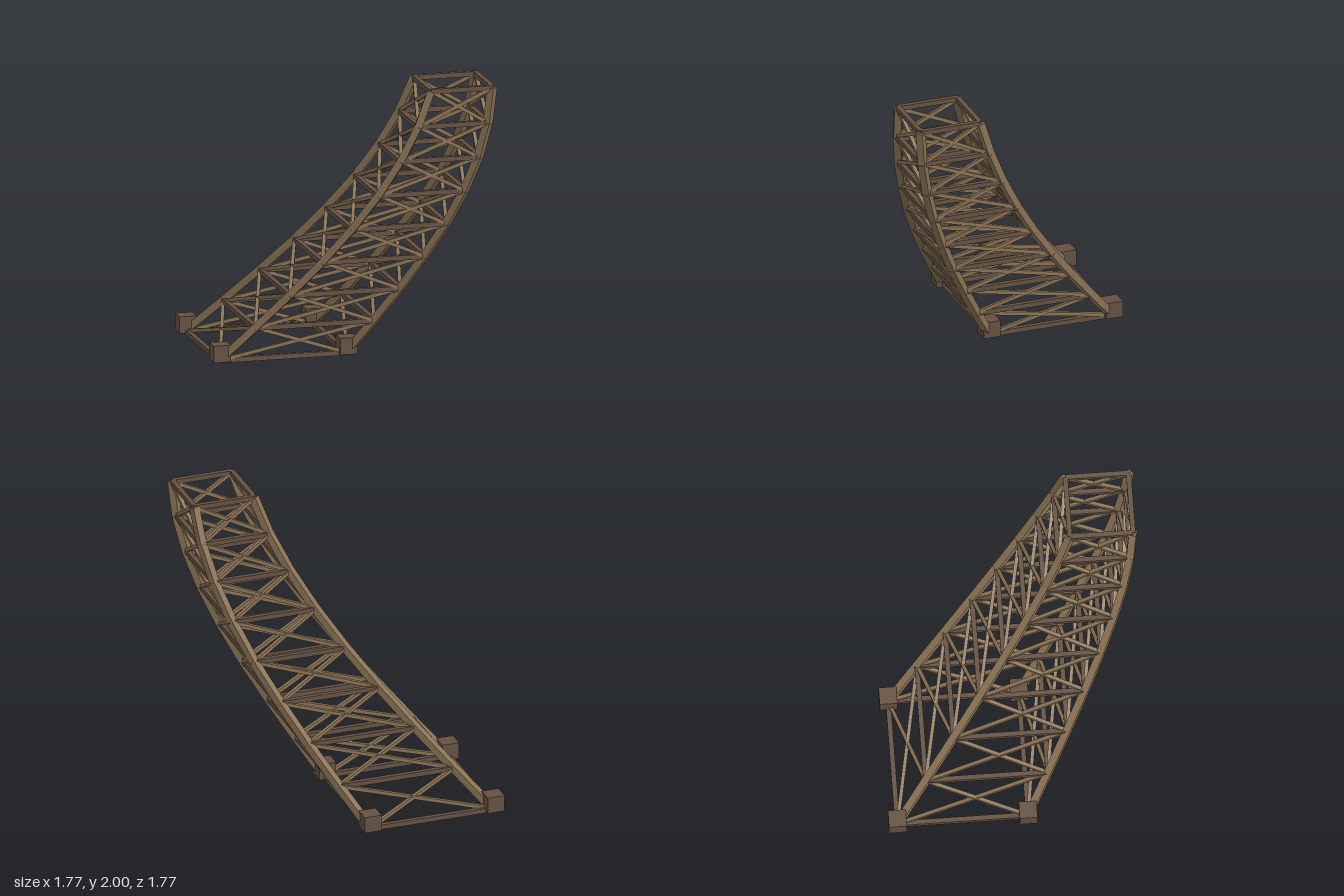
import * as THREE from 'three';

const LEVELS = 8;
const SIDES = [[-1, -1], [1, -1], [1, 1], [-1, 1]];

// Corner of the tower at a level: the square shrinks and leans towards +x +z
function corner(level, side) {
  const t = level / LEVELS;
  const centre = -0.38 + 1.023 * Math.sin(1.36 * t) / Math.sin(1.36);
  const half = 0.44 - 0.227 * t;
  const [sx, sz] = SIDES[side % 4];
  return new THREE.Vector3(centre + sx * half, 0.025 + 1.96 * t, centre + sz * half);
}

// Square timber between two points
function timber(name, a, b, thickness, material) {
  const geometry = new THREE.BoxGeometry(thickness, thickness, a.distanceTo(b));
  const mesh = new THREE.Mesh(geometry, material);
  mesh.position.copy(a).add(b).multiplyScalar(0.5);
  mesh.lookAt(b);
  mesh.name = name;
  return mesh;
}

export function createModel() {
  const lightWood = new THREE.MeshStandardMaterial({ color: 0x8b7355 });
  lightWood.name = 'light wood';
  const darkWood = new THREE.MeshStandardMaterial({ color: 0x655142 });
  darkWood.name = 'dark wood';

  const tower = new THREE.Group();
  tower.name = 'leaningLatticeTower';
  const legs = new THREE.Group();
  legs.name = 'legs';
  const beams = new THREE.Group();
  beams.name = 'horizontalBeams';
  const braces = new THREE.Group();
  braces.name = 'crossBraces';
  const feet = new THREE.Group();
  feet.name = 'feet';
  tower.add(legs, beams, braces, feet);

  for (let side = 0; side < 4; side++) {
    // Block around the foot of each leg
    const foot = new THREE.Mesh(new THREE.BoxGeometry(0.12, 0.115, 0.12), darkWood);
    foot.position.copy(corner(0, side)).setY(0.08);
    foot.name = 'footBlock';
    feet.add(foot);

    for (let i = 0; i <= LEVELS; i++) {
      const a = corner(i, side);
      const b = corner(i, side + 1);
      // Ring beam at every level
      beams.add(timber('beam', a, b, 0.034, darkWood));
      if (i === LEVELS) continue;
      // Leg section and the crossed braces of the panel above
      const aUp = corner(i + 1, side);
      const bUp = corner(i + 1, side + 1);
      legs.add(timber('legSection', a, aUp, 0.05, lightWood));
      braces.add(timber('brace', a, bUp, 0.025, lightWood));
      braces.add(timber('brace', b, aUp, 0.025, lightWood));
    }
  }
  return tower;
}
